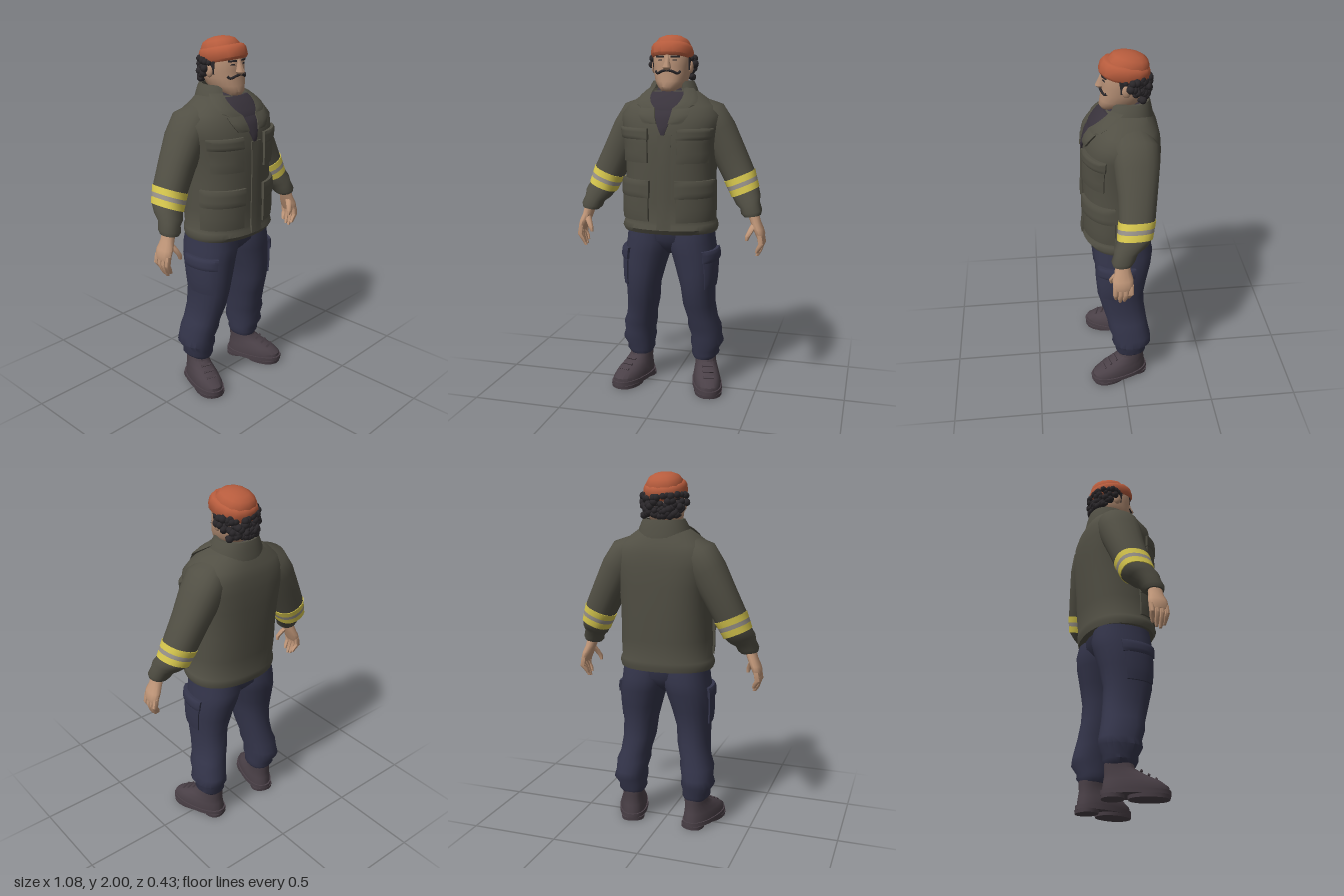
import * as THREE from 'three';
import { mergeGeometries, toCreasedNormals } from 'three/addons/utils/BufferGeometryUtils.js';

const mat = (name, color) => {
  const m = new THREE.MeshStandardMaterial({ color });
  m.name = name;
  return m;
};
const P = 0.88; // roundness of every cross-section
const pow = (v, p = P) => Math.sign(v) * Math.abs(v) ** p;
const lerp = THREE.MathUtils.lerp;

// A ring is [x, y, z, radiusX, radiusZ, tilt, squareness of the back]
function ringPoint([x, y, z, rx, rz, tilt = 0, square = 0], angle, off = 0) {
  const p = Math.sin(angle) < 0 ? P - square : P;
  const a = (rx + off) * pow(Math.cos(angle), p), b = (rz + off) * pow(Math.sin(angle), p);
  return [x + a * Math.cos(tilt), y + a * Math.sin(tilt), z + b];
}
function ringAt(rings, f) {
  const i = Math.max(0, Math.min(rings.length - 2, Math.floor(f)));
  return [0, 1, 2, 3, 4, 5, 6].map((k) => lerp(rings[i][k] ?? 0, rings[i + 1][k] ?? 0, f - i));
}
function ringAtY(rings, y) {
  let i = 0;
  while (i < rings.length - 2 && rings[i + 1][1] < y) i++;
  return ringAt(rings, i + (y - rings[i][1]) / (rings[i + 1][1] - rings[i][1]));
}

// Closed skin over rings listed from bottom to top
function loft(rings, n = 20, off = 0) {
  const pos = [], idx = [];
  for (const r of rings)
    for (let j = 0; j < n; j++) pos.push(...ringPoint(r, (j / n) * Math.PI * 2, off));
  const bottom = rings.length * n, top = bottom + 1, last = (rings.length - 1) * n;
  pos.push(...rings[0].slice(0, 3), ...rings[rings.length - 1].slice(0, 3));
  for (let j = 0; j < n; j++) {
    const k = (j + 1) % n;
    for (let i = 0; i < last; i += n) idx.push(i + j, i + n + j, i + k, i + k, i + n + j, i + n + k);
    idx.push(bottom, j, k, top, last + k, last + j);
  }
  const g = new THREE.BufferGeometry();
  g.setAttribute('position', new THREE.Float32BufferAttribute(pos, 3));
  g.setIndex(idx);
  return toCreasedNormals(g, 0.85);
}

// Slab laid on a skin; angles run from larger to smaller, at its bottom and top edges
function patch(rings, y0, y1, bottom, top, off) {
  const nu = Math.max(3, Math.ceil(Math.abs(top[0] - top[1]) / 0.16));
  const g = new THREE.BoxGeometry(1, 1, 1, nu, 6, 1), p = g.attributes.position;
  for (let i = 0; i < p.count; i++) {
    const u = p.getX(i) + 0.5, v = p.getY(i) + 0.5;
    const edge = Math.min(u, 1 - u, v, 1 - v) < 0.001;
    const angle = lerp(lerp(bottom[0], top[0], v), lerp(bottom[1], top[1], v), u);
    const d = p.getZ(i) < 0 ? -0.012 : off * (edge ? 0.75 : 1);
    p.setXYZ(i, ...ringPoint(ringAtY(rings, lerp(y0, y1, v)), angle, d));
  }
  return toCreasedNormals(g, 0.6);
}
// Angle on the front of a skin at a given x
const at = (x, r = 0.258) => {
  const t = Math.max(-0.985, Math.min(0.985, x / r));
  return Math.acos(pow(t, 1 / P));
};

function mirror(geo) {
  const g = geo.index ? geo.toNonIndexed() : geo.clone();
  g.scale(-1, 1, 1);
  for (const a of Object.values(g.attributes)) {
    const s = a.itemSize;
    for (let i = 0; i < a.count; i += 3)
      for (let k = 0; k < s; k++) {
        const q = (i + 1) * s + k, r = q + s, t = a.array[q];
        a.array[q] = a.array[r];
        a.array[r] = t;
      }
  }
  return g;
}

const JACKET = [
  [0, 0.93, 0, 0.262, 0.192], [0, 0.955, 0.005, 0.27, 0.203], [0, 0.98, 0, 0.264, 0.2], [0, 0.995, 0, 0.256, 0.196],
  [0, 1.1, -0.003, 0.257, 0.201, 0, 0.04], [0, 1.25, -0.006, 0.25, 0.204, 0, 0.1], [0, 1.4, -0.01, 0.255, 0.207, 0, 0.18],
  [0, 1.5, -0.013, 0.272, 0.203, 0, 0.2], [0, 1.57, -0.02, 0.28, 0.19, 0, 0.18], [0, 1.62, -0.03, 0.245, 0.168, 0, 0.12],
  [0, 1.66, -0.035, 0.19, 0.142], [0, 1.7, -0.045, 0.132, 0.112],
];
const ARM = [
  [0.468, 1.03, 0.03, 0.046, 0.05, 0.15], [0.462, 1.05, 0.025, 0.058, 0.06, 0.2], [0.45, 1.085, 0.01, 0.056, 0.062, 0.35],
  [0.436, 1.112, -0.01, 0.071, 0.08, 0.38], [0.415, 1.15, -0.04, 0.077, 0.089, 0.4], [0.378, 1.238, -0.055, 0.087, 0.094, 0.4],
  [0.316, 1.36, -0.064, 0.092, 0.103, 0.42], [0.252, 1.48, -0.067, 0.1, 0.118, 0.5], [0.2, 1.565, -0.063, 0.097, 0.122, 0.7],
  [0.12, 1.62, -0.05, 0.06, 0.08, 0.9],
];
const LEG = [
  [0.19, 0.165, -0.05, 0.062, 0.078], [0.195, 0.19, -0.052, 0.079, 0.09], [0.195, 0.215, -0.052, 0.076, 0.09],
  [0.204, 0.26, -0.055, 0.094, 0.114], [0.2, 0.3, -0.055, 0.086, 0.112], [0.193, 0.36, -0.038, 0.094, 0.116],
  [0.182, 0.41, -0.03, 0.084, 0.115], [0.165, 0.5, -0.01, 0.09, 0.122], [0.16, 0.6, 0.005, 0.094, 0.132],
  [0.15, 0.7, 0, 0.111, 0.145], [0.135, 0.8, -0.01, 0.127, 0.158], [0.12, 0.87, -0.012, 0.13, 0.166], [0.115, 0.97, -0.01, 0.125, 0.148],
];
const HEAD = [
  [0, 1.6, -0.04, 0.07, 0.075], [0, 1.69, -0.035, 0.07, 0.078], [0, 1.7, 0.02, 0.045, 0.07], [0, 1.72, 0.008, 0.066, 0.094],
  [0, 1.75, -0.015, 0.086, 0.111], [0, 1.79, -0.025, 0.096, 0.116], [0, 1.83, -0.03, 0.1, 0.115],
  [0, 1.89, -0.03, 0.102, 0.114], [0, 1.925, -0.03, 0.088, 0.098],
];

export function createModel() {
  const model = new THREE.Group();
  model.name = 'man';
  const olive = mat('olive', 0x514f44), navy = mat('navy', 0x34354b), boot = mat('bootBrown', 0x4a4047);
  const skin = mat('skin', 0xc2987a), faceSkin = mat('faceSkin', 0xb48e74), rust = mat('rust', 0xb75c3d);
  const hairDark = mat('hairDark', 0x2a272a), yellow = mat('yellow', 0xd8c84e);
  const silver = mat('silver', 0x98928a), cloth = mat('scarfGrey', 0x39333c);
  const add = (name, geo, material) => {
    const m = new THREE.Mesh(geo, material);
    m.name = name;
    model.add(m);
  };
  const pair = (name, geo, material) => {
    add(name + 'Left', geo, material);
    add(name + 'Right', mirror(geo), material);
  };

  // Jacket body, placket, collar and pointed lapels
  add('jacket', loft(JACKET, 40), olive);
  add('placket', patch(JACKET, 0.96, 1.47, [at(-0.025), at(0.05)], [at(-0.02), at(0.05)], 0.01), olive);
  const collar = [[0, 1.64, -0.042, 0.15, 0.135], [0, 1.7, -0.05, 0.13, 0.116], [0, 1.75, -0.058, 0.108, 0.097]];
  const wrap = [Math.PI * 2 + 0.95, Math.PI - 0.95];
  add('collar', patch(collar, 1.64, 1.75, wrap, wrap, 0.006), olive);
  const lapelMid = [at(0.045, 0.25), at(0.135, 0.25)];
  pair('lapelPoint', patch(JACKET, 1.53, 1.61, [at(0.03, 0.275), at(0.1, 0.275)], lapelMid, 0.02), olive);
  pair('lapel', patch(JACKET, 1.61, 1.715, lapelMid, [at(0.085, 0.13), at(0.127, 0.13)], 0.02), olive);

  // Jacket pockets with flaps
  for (const [name, x0, x1, y0, y1, flap] of [['chest', 0.08, 0.232, 1.32, 1.48, 1.445], ['waist', 0.075, 0.254, 1, 1.2, 1.13]]) {
    const a = [at(x0), at(x1)], b = [at(x0 - 0.006), at(x1 + 0.003)];
    pair(name + 'Pocket', patch(JACKET, y0, y1, a, a, 0.014), olive);
    pair(name + 'Flap', patch(JACKET, flap, y1 + 0.025, b, b, 0.021), olive);
  }

  // Sleeves with striped bands
  pair('sleeve', loft(ARM, 20), olive);
  [yellow, silver, yellow].forEach((m, i) => {
    const f = [4, 4.38, 4.63, 5];
    pair('armBand' + (i + 1), loft([ringAt(ARM, f[i]), ringAt(ARM, f[i + 1])], 20, 0.004), m);
  });

  // Hands
  pair('palm', loft([[0.518, 0.905, 0.03, 0.018, 0.046], [0.513, 0.93, 0.03, 0.026, 0.054], [0.503, 0.96, 0.03, 0.028, 0.054],
    [0.485, 1.0, 0.03, 0.029, 0.042], [0.47, 1.05, 0.03, 0.032, 0.037]], 12), skin);
  [0.02, 0, 0.005, 0.025].forEach((d, i) => {
    const z = 0.07 - i * 0.027;
    pair('finger' + (i + 1), loft([[0.5, 0.81 + d, z * 0.8 + 0.01, 0.009, 0.008], [0.51, 0.835 + d, z * 0.9 + 0.005, 0.014, 0.013],
      [0.524, 0.88, z, 0.016, 0.0145], [0.515, 0.93, z, 0.016, 0.0145]], 8), skin);
  });
  pair('thumb', loft([[0.447, 0.9, 0.085, 0.008, 0.008], [0.452, 0.925, 0.085, 0.014, 0.013],
    [0.472, 0.965, 0.065, 0.018, 0.018], [0.49, 1.0, 0.04, 0.018, 0.018]], 8), skin);

  // Trousers with cargo pockets
  add('hips', loft([[0, 0.79, -0.01, 0.012, 0.05], [0, 0.83, -0.01, 0.06, 0.105], [0, 0.88, -0.01, 0.18, 0.148],
    [0, 0.97, -0.01, 0.225, 0.15]], 28), navy);
  pair('trouserLeg', loft(LEG, 20), navy);
  pair('cargoPocket', patch(LEG, 0.615, 0.81, [0.95, -0.25], [0.95, -0.25], 0.012), navy);
  pair('cargoFlap', patch(LEG, 0.765, 0.83, [1, -0.3], [1, -0.3], 0.02), navy);

  // Boots, turned outwards
  const place = (g) => g.rotateY(0.31).translate(0.22, 0, 0.02);
  pair('bootUpper', place(loft([[0, 0.03, 0, 0.076, 0.168], [0, 0.06, 0, 0.078, 0.166], [0, 0.09, -0.018, 0.071, 0.143],
    [0, 0.12, -0.052, 0.063, 0.104], [0, 0.15, -0.08, 0.058, 0.078], [0, 0.2, -0.085, 0.06, 0.072]], 20)), boot);
  pair('sole', place(loft([[0, 0.018, 0, 0.084, 0.176], [0, 0.042, 0, 0.084, 0.176]], 20)), boot);
  pair('soleFront', place(loft([[0, 0, 0.065, 0.078, 0.105], [0, 0.02, 0.065, 0.08, 0.108]], 16)), boot);
  pair('heel', place(loft([[0, 0, -0.115, 0.066, 0.058], [0, 0.02, -0.115, 0.068, 0.06]], 16)), boot);
  const laces = [0, 1, 2].map((i) => new THREE.BoxGeometry(0.06, 0.008, 0.012).rotateX(0.7).translate(0, 0.1 + i * 0.02, 0.1 - i * 0.036));
  pair('laces', place(mergeGeometries(laces)), boot);

  // Scarf, wrapped round the neck and tucked into the jacket
  add('scarf', loft([[0, 1.6, -0.03, 0.1, 0.12], [0, 1.66, -0.025, 0.104, 0.122], [0, 1.685, -0.025, 0.102, 0.113],
    [0, 1.7, -0.03, 0.09, 0.1], [0, 1.715, -0.035, 0.08, 0.088]], 18), cloth);
  const tuck = [at(-0.05, 0.25), at(0.05, 0.25)];
  add('scarfTuck', patch(JACKET, 1.47, 1.6, [at(-0.004), at(0.012)], tuck, 0.012), cloth);
  add('scarfFold', patch(JACKET, 1.6, 1.695, tuck, [at(-0.09, 0.13), at(0.09, 0.13)], 0.014), cloth);

  // Head and face
  add('head', loft(HEAD, 24), faceSkin);
  add('nose', loft([[0, 1.81, 0.085, 0.014, 0.02], [0, 1.823, 0.088, 0.024, 0.031], [0, 1.85, 0.082, 0.015, 0.024],
    [0, 1.89, 0.076, 0.01, 0.012]], 10), faceSkin);
  pair('ear', new THREE.SphereGeometry(1, 10, 8).scale(0.014, 0.034, 0.024).translate(0.104, 1.825, -0.03), faceSkin);
  pair('eye', patch(HEAD, 1.858, 1.865, [at(0.028, 0.102), at(0.053, 0.102)], [at(0.03, 0.102), at(0.05, 0.102)], 0.003), hairDark);
  pair('eyebrow', patch(HEAD, 1.876, 1.885, [at(0.018, 0.102), at(0.064, 0.102)], [at(0.02, 0.102), at(0.064, 0.102)], 0.006), hairDark);
  pair('sideburn', patch(HEAD, 1.81, 1.9, [0.18, -0.12], [0.3, -0.2], 0.006), hairDark);
  const curl = new THREE.CatmullRomCurve3([[0, 1.81, 0.094], [0.03, 1.803, 0.09], [0.055, 1.792, 0.074], [0.068, 1.803, 0.064]].map((p) => new THREE.Vector3(...p)));
  pair('moustache', new THREE.TubeGeometry(curl, 12, 0.007, 8), hairDark);

  // Curly hair round the sides and back
  let seed = 7;
  const rand = () => (seed = (seed * 16807) % 2147483647) / 2147483647 - 0.5;
  const curls = [];
  for (const [y, spread] of [[1.78, 0.95], [1.807, 1.2], [1.838, 1.45], [1.868, 1.65]])
    for (let i = 0; i < 22; i++) {
      const a = -Math.PI / 2 + spread * (i / 10.5 - 1);
      curls.push(new THREE.IcosahedronGeometry(0.017 + rand() * 0.012, 1).translate(
        (0.115 + rand() * 0.02) * Math.cos(a), y + rand() * 0.025, -0.035 + (0.115 + rand() * 0.02) * Math.sin(a)));
    }
  add('hair', mergeGeometries(curls), hairDark);

  // Knitted cap, tipped back
  const tip = (g) => g.translate(0, -1.92, 0.04).rotateX(-0.21).translate(0, 1.92, -0.04);
  add('capBrim', tip(loft([[0, 1.864, -0.035, 0.105, 0.12], [0, 1.878, -0.035, 0.115, 0.132], [0, 1.918, -0.036, 0.113, 0.13],
    [0, 1.937, -0.038, 0.105, 0.12], [0, 1.943, -0.04, 0.094, 0.106]], 14)), rust);
  add('capCrown', tip(loft([[0, 1.9, -0.045, 0.1, 0.114], [0, 1.945, -0.047, 0.097, 0.108], [0, 1.973, -0.05, 0.08, 0.09],
    [0, 1.988, -0.052, 0.052, 0.058], [0, 1.995, -0.053, 0.02, 0.02]], 12)), rust);
  return model;
}
